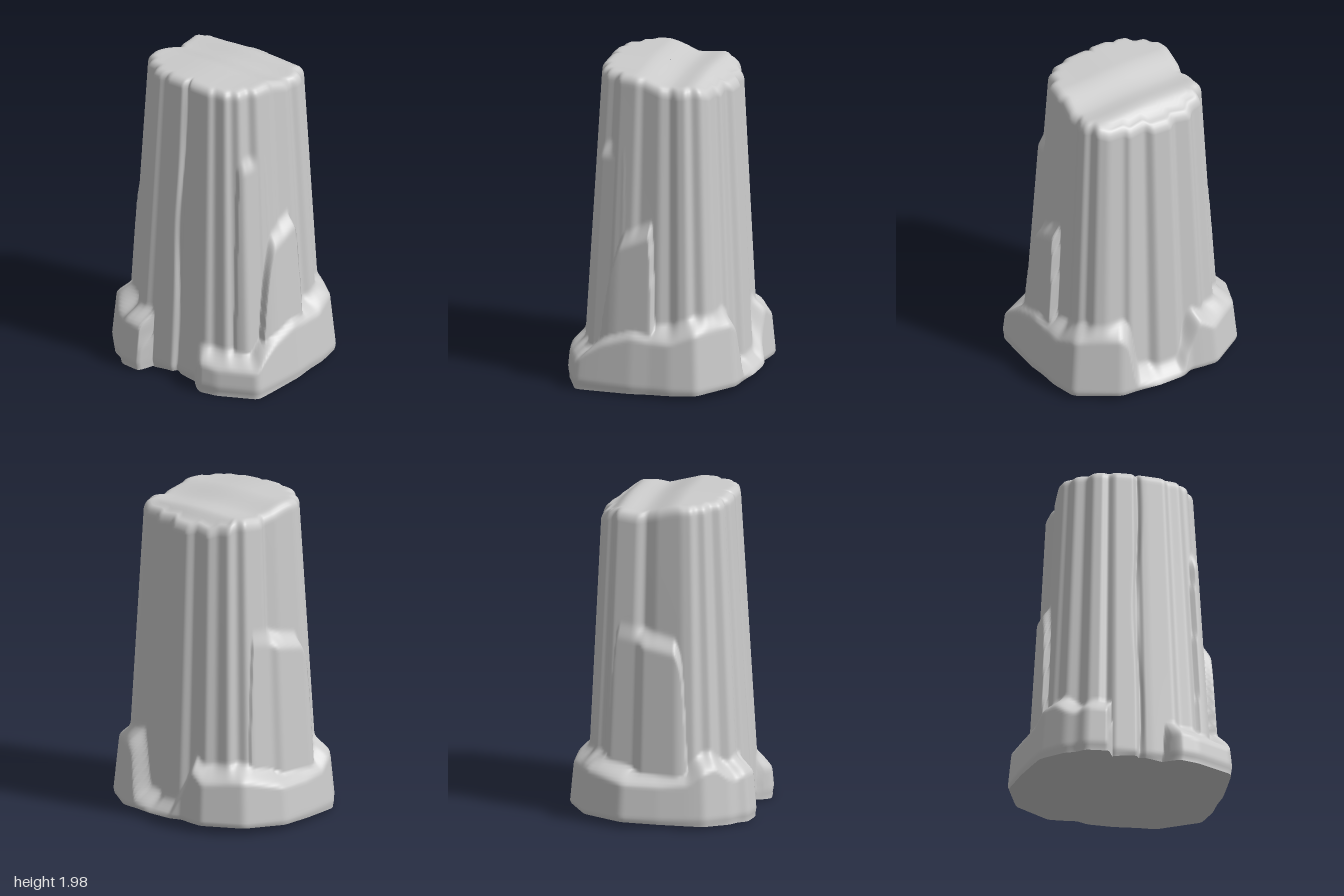
import * as THREE from 'three';

const SEG = 400;
const ABSENT = -0.6;

// Shaft outline [x, z] at the top, with flutes
const SHAFT = [
  [0.44, -0.10], [0.425, 0.02], [0.44, 0.05], [0.43, 0.17], [0.385, 0.20], [0.38, 0.27],
  [0.33, 0.29], [0.32, 0.325], [0.24, 0.335], [0.22, 0.36], [0.10, 0.37], [0.055, 0.37],
  [0.045, 0.35], [0.03, 0.38], [-0.09, 0.385], [-0.13, 0.355], [-0.15, 0.375], [-0.22, 0.365],
  [-0.25, 0.31], [-0.32, 0.30], [-0.34, 0.25], [-0.38, 0.23], [-0.395, 0.17], [-0.39, 0.02],
  [-0.37, -0.06], [-0.40, -0.10], [-0.40, -0.24], [-0.35, -0.265], [-0.345, -0.32],
  [-0.27, -0.34], [-0.23, -0.385], [-0.12, -0.38], [-0.08, -0.415], [0.04, -0.415],
  [0.08, -0.38], [0.19, -0.395], [0.22, -0.37], [0.32, -0.37], [0.38, -0.335],
  [0.39, -0.275], [0.425, -0.26], [0.435, -0.20], [0.415, -0.16],
];

// Rock ledge around the foot: [x, z, height]
const LEDGE = [
  [0.66, 0.02, 0.42], [0.655, 0.21, 0.36], [0.65, 0.33, 0.29], [0.645, 0.39, 0.23],
  [0.41, 0.52, 0.23], [0.29, 0.55, 0.25], [0.21, 0.49, 0.22], [0.18, 0.47, ABSENT],
  [-0.12, 0.48, ABSENT], [-0.135, 0.56, 0.30], [-0.16, 0.59, 0.35], [-0.31, 0.58, 0.36],
  [-0.36, 0.53, 0.33], [-0.43, 0.50, 0.36], [-0.49, 0.44, 0.42], [-0.56, 0.37, 0.40],
  [-0.585, 0.28, 0.33], [-0.63, 0.09, 0.32], [-0.665, -0.14, 0.33], [-0.57, -0.405, 0.38],
  [-0.34, -0.565, 0.36], [-0.24, -0.56, 0.42], [-0.16, -0.55, 0.26], [-0.09, -0.585, 0.11],
  [0.08, -0.59, 0.10],
  [0.24, -0.57, 0.14], [0.28, -0.57, 0.42], [0.345, -0.565, 0.48], [0.60, -0.40, 0.46],
  [0.64, -0.23, 0.40], [0.645, -0.10, 0.40],
];

// Taller slabs leaning on the sides: [x, z, height]
const SIDE_SLABS = [
  [0.61, -0.095, 1.05], [0.61, 0.15, 0.95], [0.60, 0.21, 0.76], [0.58, 0.26, 0.40],
  [0.55, 0.30, ABSENT], [0, 0.4, ABSENT], [-0.50, 0.27, ABSENT], [-0.54, 0.24, 0.95],
  [-0.56, 0.19, 1.12], [-0.56, -0.05, 1.16], [-0.53, -0.10, 1.18], [-0.52, -0.27, 1.20],
  [-0.49, -0.31, ABSENT], [0, -0.4, ABSENT], [0.58, -0.125, ABSENT],
];
const CORNER_SLAB = [
  [0.55, 0.10, ABSENT], [0.555, 0.13, 1.50], [0.52, 0.345, 1.50], [0.465, 0.375, 1.42],
  [0.44, 0.38, ABSENT], [0, 0.4, ABSENT], [-0.4, 0, ABSENT], [0, -0.4, ABSENT],
];

// Where a ray from the axis meets an outline: returns radius and height there
function meet(outline, a) {
  const dx = Math.cos(a), dz = Math.sin(a);
  for (let i = 0; i < outline.length; i++) {
    const p = outline[i], q = outline[(i + 1) % outline.length];
    const cp = dx * p[1] - dz * p[0], cq = dx * q[1] - dz * q[0];
    if (cp > 0 || cq <= 0) continue;
    const t = cp / (cp - cq);
    const r = dx * (p[0] + (q[0] - p[0]) * t) + dz * (p[1] + (q[1] - p[1]) * t);
    if (r > 0) return { r, h: (p[2] ?? 0) + ((q[2] ?? 0) - (p[2] ?? 0)) * t };
  }
  return { r: 0.4, h: ABSENT };
}

// The same, averaged over a small arc so that corners are worn round
function wornMeet(outline, a) {
  const sum = { r: 0, h: 0 };
  for (let k = -3; k <= 3; k++) {
    const m = meet(outline, a + k * 0.011);
    sum.r += m.r / 7;
    sum.h += m.h / 7;
  }
  return sum;
}

const { lerp, smoothstep } = THREE.MathUtils;

// Broken, stepped top and slightly tilted, hollowed underside
const topHeight = (x, z) => {
  const zz = z + 0.08 * x;
  return 1.933 + 0.055 * smoothstep(zz, -0.13, 0.12) + 0.012 * Math.exp(-(((zz + 0.24) / 0.07) ** 2))
    - 0.05 * smoothstep(-zz, 0.26, 0.38) + 0.006 * Math.sin(9 * x + 1.5);
};
const footHeight = (x, z) => Math.max(0, 0.033 - 0.035 * z - 0.012 * x)
  + 0.025 * Math.exp(-(((x - 0.03) / 0.14) ** 2)) * smoothstep(z, 0.1, 0.4);

// Radius of the rock at an angle and height
function rockRadius(column, y) {
  const shaft = column.shaft.r * lerp(1.26 + 0.04 * column.sin, 1, y / 2);
  let r = shaft;
  column.layers.forEach(({ r: base, h }, i) => {
    const outer = base * (1 - (i === 0 ? 0.15 : 0.105) * y);
    const k = 1 - smoothstep(y, h - 0.06, h + 0.06);
    r = Math.max(r, lerp(shaft, outer, k));
  });
  // wandering crack down the front
  const d = r * column.cos - 0.045 - 0.015 * Math.sin(y * 4.5);
  if (column.sin > 0) r -= 0.012 * Math.exp(-((d / 0.013) ** 2));
  // worn lower edge
  return r - 0.015 * (1 - smoothstep(y, 0.01, 0.08));
}

// Smooth surface through closed rings of equal size, ordered upwards or inwards
function skin(rings, flip) {
  const pos = rings.flat(2), index = [];
  for (let j = 0; j < rings.length - 1; j++) {
    for (let i = 0; i < SEG; i++) {
      const a = j * SEG + i, b = j * SEG + (i + 1) % SEG, c = a + SEG, d = b + SEG;
      if (flip) index.push(a, b, c, b, d, c);
      else index.push(a, c, b, b, c, d);
    }
  }
  const g = new THREE.BufferGeometry();
  g.setAttribute('position', new THREE.Float32BufferAttribute(pos, 3));
  g.setIndex(index);
  g.computeVertexNormals();
  return g;
}

export function createModel() {
  const group = new THREE.Group();
  group.name = 'rockPillar';
  const stone = new THREE.MeshStandardMaterial({ color: 0xcccccc });
  stone.name = 'pale stone';

  const columns = Array.from({ length: SEG }, (_, i) => {
    const a = (i / SEG) * Math.PI * 2;
    return {
      cos: Math.cos(a), sin: Math.sin(a), shaft: wornMeet(SHAFT, a),
      layers: [LEDGE, SIDE_SLABS, CORNER_SLAB].map((o) => wornMeet(o, a)),
    };
  });
  const ring = (fn) => columns.map((c) => {
    const [r, y] = fn(c);
    return [r * c.cos, y, r * c.sin];
  });
  const ROUND = 0.055;
  const rim = (c) => {
    const r = rockRadius(c, 1.93);
    return { r, y: topHeight((r - ROUND) * c.cos, (r - ROUND) * c.sin) };
  };
  const foot = (c) => {
    const r = rockRadius(c, 0.03);
    return [r, footHeight(r * c.cos, r * c.sin)];
  };

  // Walls, from the foot up to the rounded rim, then the top
  const rings = [ring(foot)];
  const ROWS = 110;
  for (let j = 1; j <= ROWS; j++) {
    rings.push(ring((c) => {
      const y = lerp(foot(c)[1], rim(c).y - ROUND, j / ROWS);
      return [rockRadius(c, y), y];
    }));
  }
  for (let j = 1; j <= 5; j++) {
    const t = (j / 5) * Math.PI / 2;
    rings.push(ring((c) => {
      const e = rim(c);
      return [e.r - ROUND * (1 - Math.cos(t)), e.y - ROUND * (1 - Math.sin(t))];
    }));
  }
  for (let j = 1; j <= 16; j++) {
    rings.push(ring((c) => {
      const r = (rim(c).r - ROUND) * Math.max(0.002, 1 - j / 16);
      return [r, topHeight(r * c.cos, r * c.sin)];
    }));
  }
  const pillar = new THREE.Mesh(skin(rings, false), stone);
  pillar.name = 'pillar';

  // Underside
  const under = [1, 0.85, 0.7, 0.5, 0.25, 0.002].map((k) => ring((c) => {
    const r = foot(c)[0] * k;
    return [r, footHeight(r * c.cos, r * c.sin)];
  }));
  const underside = new THREE.Mesh(skin(under, true), stone);
  underside.name = 'underside';

  group.add(pillar, underside);
  return group;
}
